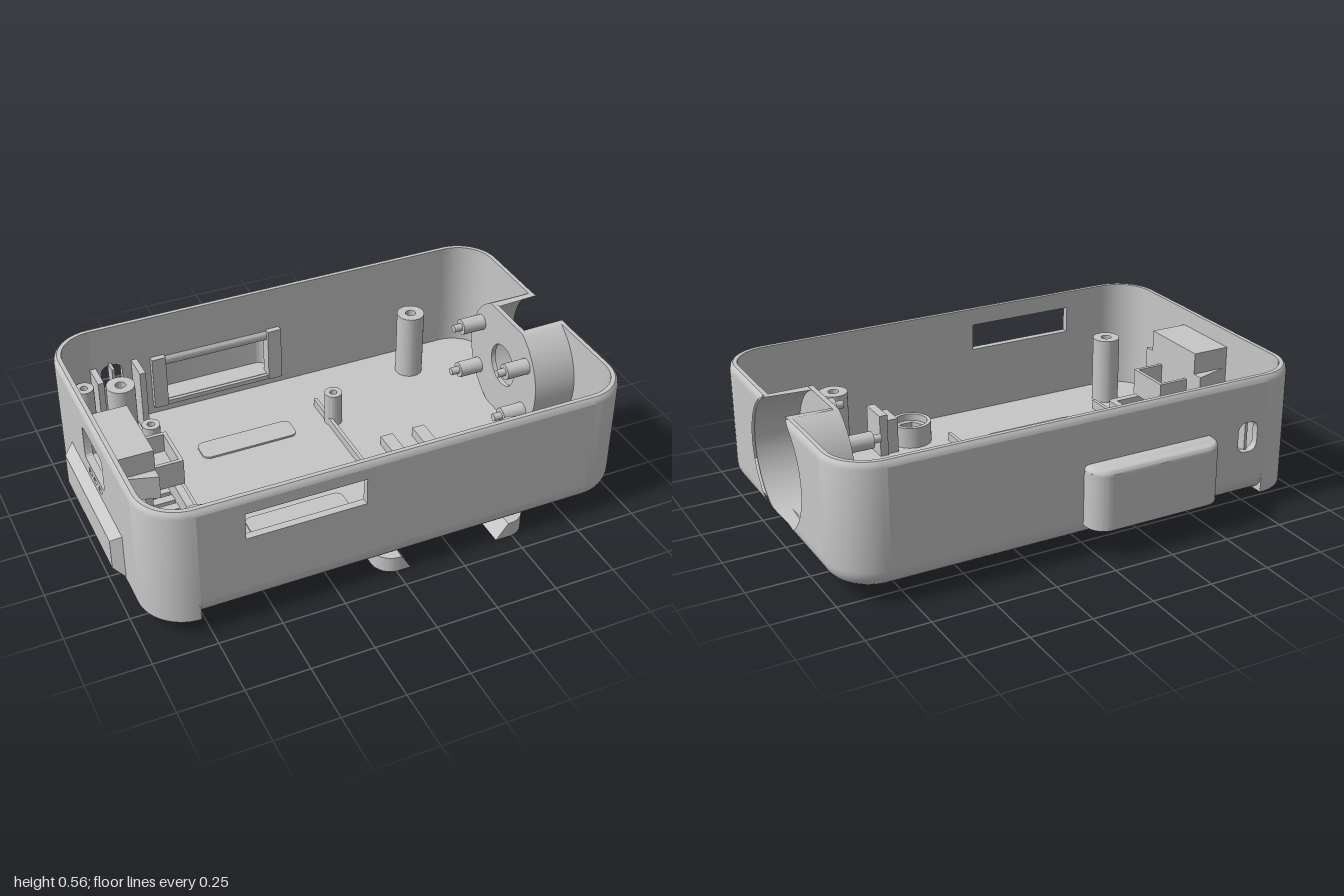
import * as THREE from 'three';
import { toCreasedNormals } from 'three/addons/utils/BufferGeometryUtils.js';

const R = 0.18, Y0 = 0.06, YT = 0.56, T = 0.03, F = 0.08; // plan radius, bottom, top, wall, fillet
const YF = Y0 + T, YS = YT - 0.025; // floor top, start of rim
const CUP = { z: 0.045, y: 0.33, r: 0.255 };
const PI = Math.PI;

export function createModel() {
  const root = new THREE.Group();
  root.name = 'enclosure';
  const grey = new THREE.MeshStandardMaterial({ color: 0xc6c6c6 });
  grey.name = 'light grey plastic';

  const add = (name, geo, parent = root) => {
    const m = new THREE.Mesh(toCreasedNormals(geo, 0.6), grey);
    m.name = name;
    parent.add(m);
  };
  const box = (name, x0, x1, y0, y1, z0, z1) =>
    add(name, new THREE.BoxGeometry(x1 - x0, y1 - y0, z1 - z0)
      .translate((x0 + x1) / 2, (y0 + y1) / 2, (z0 + z1) / 2));
  const extrude = (shape, depth, opts = {}) =>
    new THREE.ExtrudeGeometry(shape, { depth, bevelEnabled: false, curveSegments: 20, ...opts });
  // Plan shapes use (x, -z) and are extruded upwards
  const up = (shape, y, h, opts) => extrude(shape, h, opts).rotateX(-PI / 2).translate(0, y, 0);
  const poly = pts => new THREE.Shape(pts.map(p => new THREE.Vector2(p[0], p[1])));
  const rect = (x0, x1, y0, y1) => poly([[x0, y0], [x1, y0], [x1, y1], [x0, y1]]);
  const disc = (x, y, r) => new THREE.Shape().absarc(x, y, r, 0, 2 * PI, false);
  const roundRect = (x0, x1, y0, y1, r) => new THREE.Shape()
    .absarc(x1 - r, y0 + r, r, -PI / 2, 0, false).absarc(x1 - r, y1 - r, r, 0, PI / 2, false)
    .absarc(x0 + r, y1 - r, r, PI / 2, PI, false).absarc(x0 + r, y0 + r, r, PI, 1.5 * PI, false);
  const withHoles = (shape, holes) => { shape.holes.push(...holes); return shape; };
  const tube = (name, x, z, r, hole, y1) =>
    add(name, up(withHoles(disc(x, -z, r), [disc(x, -z, hole)]), YF, y1 - YF));

  // Wall profiles as [inset, y]
  const outerArc = Array.from({ length: 9 }, (_, i) => {
    const a = i / 8 * PI / 2;
    return [F - F * Math.sin(a), Y0 + F - F * Math.cos(a)];
  });
  const rim = [[0, YS], [0.004, YT - 0.01], [0.013, YT], [T, YT]];
  const foot = [[T, YF], [F, YF], [F, Y0]];
  const filletProfile = [...outerArc, ...rim, ...foot];
  const squareProfile = [[0, Y0], ...rim, [T, Y0], [0, Y0]];

  // Rounded corners: square-bottomed at the left end, filleted at the right
  [[0.82, 0.49, 0, filletProfile], [0.82, -0.4, 1, filletProfile],
    [-0.78, -0.4, 2, squareProfile], [-0.78, 0.49, 3, squareProfile]].forEach(([x, z, q, p]) =>
    add('cornerWall', new THREE.LatheGeometry(p.map(([d, y]) => new THREE.Vector2(R - d, y)),
      14, q * PI / 2, PI / 2).translate(x, 0, z)));

  // Straight walls with cut-outs
  const wall = (name, x, z, rot, len, holes, fillet) => {
    const g = new THREE.Group();
    g.name = name;
    g.position.set(x, 0, z);
    g.rotation.y = rot;
    root.add(g);
    const strip = (n, pts) => add(n, extrude(poly(pts.map(([d, y]) => [-d, y])), len)
      .rotateY(-PI / 2).translate(len / 2, 0, 0), g);
    add('panel', extrude(withHoles(rect(-len / 2, len / 2, fillet ? Y0 + F : Y0, YS), holes), T)
      .translate(0, 0, -T), g);
    strip('rim', [...rim, [T, YS]]);
    if (fillet) strip('bottomFillet', [...outerArc, [T, Y0 + F], [T, YF], [F, YF]]);
  };
  wall('frontWall', 0.02, 0.67, 0, 1.6, [rect(-0.62, -0.15, 0.375, 0.487)], true);
  wall('backWall', 0.02, -0.58, PI, 1.6,
    [rect(0.04, 0.495, 0.147, 0.34), roundRect(0.675, 0.765, 0.255, 0.38, 0.035)], true);
  wall('leftWall', -0.96, 0.045, -PI / 2, 0.89, [roundRect(-0.12, 0.12, 0.33, 0.475, 0.02),
    ...[-0.06, 0, 0.06].map(c => rect(c - 0.018, c + 0.018, 0.285, 0.305))], false);
  for (const [edge, s] of [[0.67, 1], [-0.58, -1]]) { // steps where square corners meet fillets
    const pts = [[0, Y0], ...outerArc].map(([d, y]) => [s * d - edge, y]);
    add('filletStep', extrude(poly(pts), 0.006).rotateY(PI / 2).translate(-0.786, 0, 0));
  }

  // Right wall: profile rows that stop at the round recess
  const rows = [...outerArc];
  for (let i = 1; i <= 28; i++) rows.push([0, Y0 + F + (YS - Y0 - F) * i / 28]);
  rows.push(...rim.slice(1));
  for (let i = 1; i <= 32; i++) rows.push([T, YT - (YT - YF) * i / 32]);
  rows.push(...foot.slice(1));
  for (const s of [1, -1]) {
    const pos = [], idx = [];
    rows.forEach(([d, y], i) => {
      const w = Math.sqrt(Math.max(0, CUP.r ** 2 - (y - CUP.y) ** 2));
      pos.push(1 - d, y, CUP.z + s * 0.445, 1 - d, y, CUP.z + s * w);
      if (!i) return;
      const a = 2 * i - 2, b = a + 1, c = a + 2, e = a + 3;
      idx.push(...(s > 0 ? [a, b, c, b, e, c] : [a, c, b, b, c, e]));
    });
    const g = new THREE.BufferGeometry();
    g.setAttribute('position', new THREE.Float32BufferAttribute(pos, 3));
    g.setIndex(idx);
    g.computeVertexNormals();
    add('rightWall', g);
  }

  // Round recess: tapered ring cut flat at the rim, with a pierced back plate
  const top = YT - CUP.y - 0.001, ro = 0.262, ri = 0.25;
  const cut = r => Math.acos(top / r);
  const ring = new THREE.Shape()
    .absarc(0, 0, ro, PI / 2 + cut(ro), 2.5 * PI - cut(ro), false)
    .absarc(0, 0, ri, 2.5 * PI - cut(ri), PI / 2 + cut(ri), true);
  const ringGeo = extrude(ring, 0.2, { curveSegments: 56 });
  const rp = ringGeo.attributes.position;
  for (let i = 0; i < rp.count; i++) {
    const x = rp.getX(i), y = rp.getY(i), z = rp.getZ(i);
    if (Math.hypot(x, y) < 0.256) {
      const k = (z > 0.1 ? 0.254 : 0.243) / ri;
      rp.setXY(i, x * k, Math.min(y * k, top));
    }
    const drop = Math.max(0, Y0 + F - (y + CUP.y));
    const inset = F - Math.sqrt(Math.max(0, F * F - drop * drop));
    if (z > 0.1) rp.setZ(i, Math.min(0.2, 0.208 - inset));
  }
  const toRight = g => g.rotateY(PI / 2).translate(0.79, CUP.y, CUP.z);
  add('recessRing', toRight(ringGeo));
  const plate = new THREE.Shape().absarc(0, 0, ro, PI / 2 + cut(ro), 2.5 * PI - cut(ro), false);
  add('recessPlate', toRight(extrude(withHoles(plate, [disc(0, 0, 0.09)]), 0.02, { curveSegments: 48 })));
  for (const z of [-0.14, 0.22]) for (const y of [0.22, 0.435]) {
    for (const [r, x0, x1] of [[0.033, 0.69, 0.8], [0.016, 0.655, 0.7]])
      add('recessPeg', new THREE.CylinderGeometry(r, r, x1 - x0, 20)
        .rotateZ(PI / 2).translate((x0 + x1) / 2, y, z));
  }

  // Floor with screw holes and vents
  const screws = [[-0.71, -0.4], [0.59, -0.4], [-0.71, 0.48], [0.59, 0.48]];
  const floor = new THREE.Shape();
  floor.moveTo(-0.78, -0.668).lineTo(-0.78, -0.59)
    .absarc(0.82, -0.49, 0.1, -PI / 2, 0, false).absarc(0.82, 0.4, 0.1, 0, PI / 2, false)
    .lineTo(-0.78, 0.5).absarc(-0.78, 0.4, 0.178, PI / 2, PI, false)
    .absarc(-0.78, -0.49, 0.178, PI, 1.5 * PI, false);
  const vents = [-2, -1, 0, 1, 2].map(i =>
    rect(-0.79, -0.65, -0.04 + i * 0.055 - 0.009, -0.04 + i * 0.055 + 0.009));
  add('floor', up(withHoles(floor,
    [...screws.map(([x, z]) => disc(x, -z, 0.042)), disc(0.25, -0.48, 0.034), ...vents]), Y0, T));
  screws.forEach(([x, z]) => tube('screwPost', x, z, 0.058, 0.022, 0.38));
  tube('smallPost', -0.63, -0.29, 0.037, 0.015, 0.235);
  tube('smallPost', 0.13, -0.19, 0.037, 0.015, 0.235);
  tube('smallPost', -0.84, -0.48, 0.04, 0.015, 0.35);

  // Nut holder: open ring with a hexagonal seat
  tube('nutRing', 0.25, 0.48, 0.085, 0.068, 0.18);
  const hex = poly([0, 1, 2, 3, 4, 5].map(i =>
    [0.25 + 0.052 * Math.cos(i * PI / 3), -0.48 + 0.052 * Math.sin(i * PI / 3)]));
  add('nutSeat', up(withHoles(disc(0.25, -0.48, 0.07), [hex]), YF, 0.06));

  // Floor ribs and pads
  box('floorRib', -0.612, -0.597, YF, 0.13, -0.32, 0.4);
  box('floorRib', 0.1, 0.115, YF, 0.125, -0.32, 0.4);
  for (const z of [-0.21, 0.31])
    add('floorPad', up(roundRect(-0.455, -0.045, -z - 0.053, -z + 0.053, 0.03), YF, 0.008));
  for (const x of [0.265, 0.41]) box('floorBlock', x - 0.027, x + 0.027, YF, 0.13, 0.04, 0.25);
  box('switchPlate', 0.395, 0.43, YF, 0.27, 0.39, 0.52);
  box('switchBody', 0.345, 0.4, YF, 0.24, 0.4, 0.51);

  // Connector port at the left end: hood closed on the inside, and an open pocket
  add('portFrame', up(withHoles(roundRect(-0.94, -0.62, -0.31, 0.225, 0.02),
    [rect(-0.92, -0.65, -0.28, 0.195)]), YF, 0.07));
  box('portHood', -0.935, -0.77, 0.465, 0.49, -0.11, 0.2);
  box('portHoodBase', -0.935, -0.77, 0.3, 0.325, -0.11, 0.2);
  box('portHoodBack', -0.79, -0.77, 0.3, 0.49, -0.11, 0.2);
  for (const [z, s] of [[-0.11, -1], [0.2, 1]]) {
    box('portCheek', -0.935, -0.77, 0.3, 0.49, Math.min(z, z - s * 0.025), Math.max(z, z - s * 0.025));
    add('portGusset', up(poly([[-0.92, -z], [-0.77, -z - s * 0.045], [-0.77, -z]]), 0.3, 0.1));
  }
  box('portPocketFloor', -0.78, -0.64, 0.25, 0.28, -0.06, 0.14);
  box('portPocketEnd', -0.655, -0.64, 0.25, 0.36, -0.06, 0.14);
  box('portPocketSide', -0.78, -0.64, 0.25, 0.36, -0.06, -0.045);
  box('portPocketSide', -0.78, -0.64, 0.25, 0.36, 0.125, 0.14);
  box('portSupport', -0.8, -0.77, YF, 0.32, -0.06, 0.14);

  // Left grip ledge with bevelled ends
  const ledge = extrude(poly([[-0.95, Y0], [-0.95, 0.27], [-1, 0.23], [-1, 0.1]]), 0.64)
    .translate(0, 0, -0.28);
  const lp = ledge.attributes.position;
  for (let i = 0; i < lp.count; i++)
    if (lp.getX(i) < -0.99) lp.setZ(i, lp.getZ(i) > 0 ? 0.32 : -0.24);
  add('gripLedge', ledge);

  // Hollow pod on the back wall
  const podPlan = (x0, x1, s1, r) => new THREE.Shape().moveTo(x0, 0.56).lineTo(x1, 0.56)
    .absarc(x1 - r, s1 - r, r, 0, PI / 2, false).absarc(x0 + r, s1 - r, r, PI / 2, PI, false);
  const podRing = new THREE.Shape().moveTo(-0.53, 0.56).lineTo(-0.5, 0.56)
    .absarc(-0.45, 0.595, 0.05, PI, PI / 2, true).absarc(-0.04, 0.595, 0.05, PI / 2, 0, true)
    .lineTo(0.01, 0.56).lineTo(0.04, 0.56)
    .absarc(-0.035, 0.595, 0.075, 0, PI / 2, false).absarc(-0.455, 0.595, 0.075, PI / 2, PI, false);
  add('podWall', up(podRing, 0.12, 0.226));
  add('podFloor', up(podPlan(-0.528, 0.038, 0.668, 0.073), 0.12, 0.025));
  add('podRoof', up(podPlan(-0.51, 0.02, 0.65, 0.055), 0.335, 0.01,
    { bevelEnabled: true, bevelSize: 0.02, bevelThickness: 0.02, bevelSegments: 4 }));
  box('podInnerPost', -0.535, -0.475, 0.13, 0.37, -0.56, -0.525);
  box('podInnerPost', -0.02, 0.04, 0.13, 0.37, -0.56, -0.525);
  box('podInnerBar', -0.48, -0.015, 0.125, 0.145, -0.56, -0.535);

  // Holder behind the back slot
  box('slotCheek', -0.79, -0.765, YF, 0.38, -0.555, -0.44);
  box('slotCheek', -0.615, -0.59, YF, 0.38, -0.555, -0.44);
  box('slotRib', -0.712, -0.7, 0.25, 0.39, -0.56, -0.5);

  // Dovetail slide under the floor, closed at the back, with rounded outer corners
  const slide = new THREE.Shape().moveTo(0.01, -0.67).lineTo(0.06, -0.67).lineTo(0.06, 0)
    .lineTo(0.43, 0).lineTo(0.43, -0.67)
    .absarc(0.49, -0.59, 0.08, -PI / 2, 0, false).absarc(0.47, 0.05, 0.1, 0, PI / 2, false)
    .absarc(0.03, 0.05, 0.1, PI / 2, PI, false).absarc(0.01, -0.59, 0.08, PI, 1.5 * PI, false);
  const slideGeo = up(slide, 0, 0.067), sp = slideGeo.attributes.position;
  for (let i = 0; i < sp.count; i++) {
    const x = sp.getX(i), z = sp.getZ(i);
    if (sp.getY(i) < 0.03 || z < -0.01) continue;
    if (Math.abs(x - 0.06) < 0.001) sp.setX(i, 0.02);
    if (Math.abs(x - 0.43) < 0.001) sp.setX(i, 0.48);
    if (z < 0.01 && x > 0.01 && x < 0.5) sp.setZ(i, -0.04);
  }
  add('mountSlide', slideGeo);

  return root;
}
